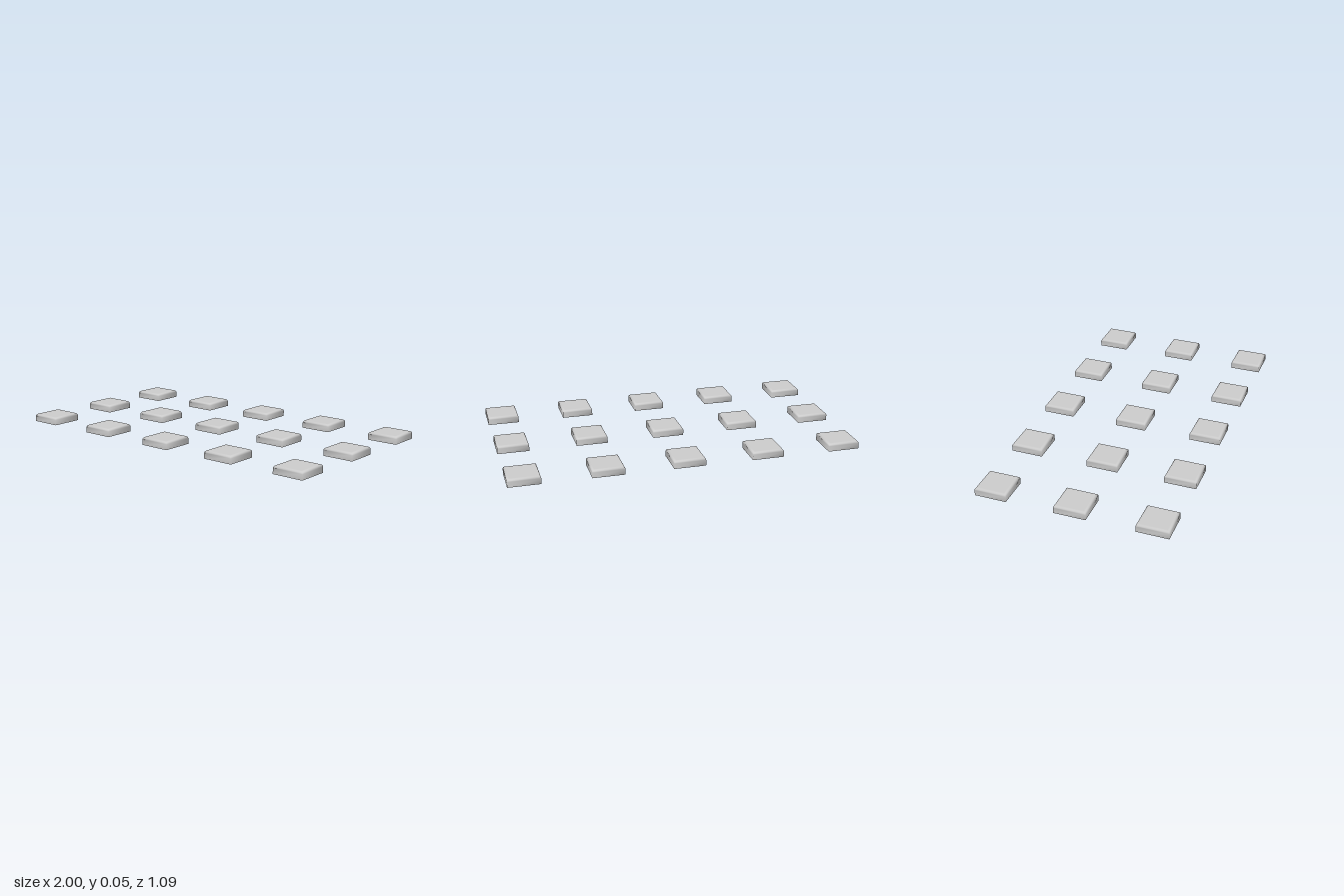
import * as THREE from 'three';

const HALF = 1 / 11;    // half the width of one tile
const PITCH = 5 / 11;   // spacing between tile centres
const HEIGHT = 0.046;
const ROUND = 0.014;    // radius of the rolled top edge

// Open-bottomed square cap: square rings stacked along a rounded profile
function capGeometry() {
  const profile = [[HALF, 0]];
  const steps = 4;
  for (let i = 0; i <= steps; i++) {
    const a = (i / steps) * Math.PI / 2;
    profile.push([HALF - ROUND * (1 - Math.cos(a)), HEIGHT - ROUND * (1 - Math.sin(a))]);
  }
  const corners = [[1, 1], [1, -1], [-1, -1], [-1, 1]];
  const positions = [];
  const index = [];
  profile.forEach(([r, y], ring) => {
    corners.forEach(([sx, sz], i) => {
      positions.push(sx * r, y, sz * r);
      if (ring === 0) return;
      const b = ring * 4 + i;
      const bNext = ring * 4 + (i + 1) % 4;
      index.push(b - 4, bNext - 4, bNext, b - 4, bNext, b);
    });
  });
  // Flat top
  const t = (profile.length - 1) * 4;
  index.push(t, t + 1, t + 2, t, t + 2, t + 3);

  const geometry = new THREE.BufferGeometry();
  geometry.setAttribute('position', new THREE.Float32BufferAttribute(positions, 3));
  geometry.setIndex(index);
  geometry.computeVertexNormals();
  return geometry;
}

export function createModel() {
  const model = new THREE.Group();
  model.name = 'tileGrid';
  const geometry = capGeometry();
  const material = new THREE.MeshStandardMaterial({ color: 0xcccccc, side: THREE.DoubleSide });

  // Three rows of five hollow tiles
  for (let row = -1; row <= 1; row++) {
    for (let col = -2; col <= 2; col++) {
      const tile = new THREE.Mesh(geometry, material);
      tile.name = `tileRow${row + 2}Column${col + 3}`;
      tile.position.set(col * PITCH, 0, row * PITCH);
      model.add(tile);
    }
  }
  return model;
}
